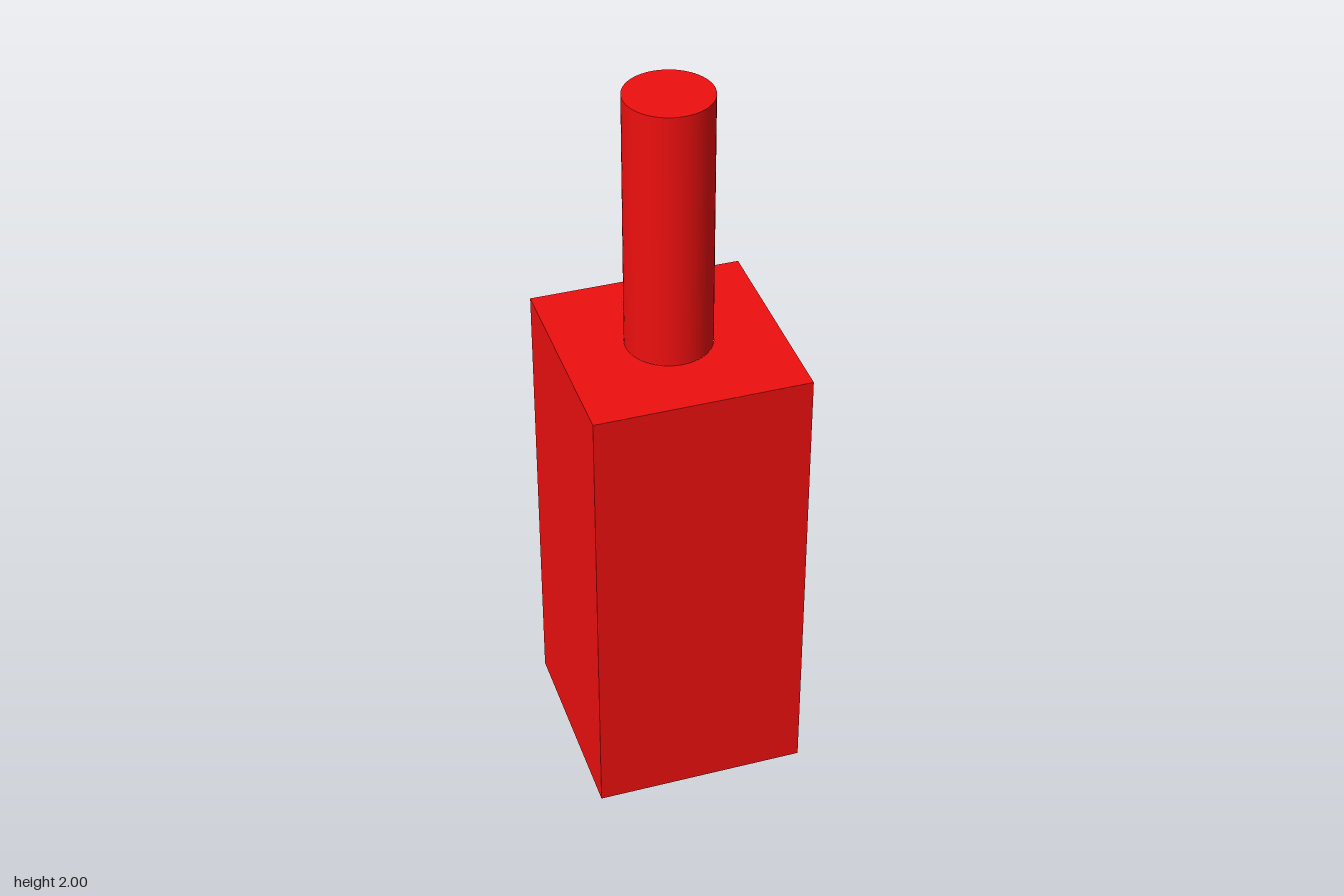
import * as THREE from 'three';

const WIDTH = 0.572, BODY_H = 1.286, TOTAL_H = 2, RADIUS = 0.1145, BORE_DEPTH = 0.714, SEGMENTS = 64;

export function createModel() {
  const group = new THREE.Group();
  const red = new THREE.MeshStandardMaterial({ color: 0xee0f0f });
  const redInside = new THREE.MeshStandardMaterial({ color: 0xee0f0f, side: THREE.BackSide });

  function add(name, geometry, y, material = red, rotX = 0) {
    const mesh = new THREE.Mesh(geometry, material);
    mesh.name = name;
    mesh.position.y = y;
    mesh.rotation.x = rotX;
    group.add(mesh);
  }

  // Four side walls: a box without its top and bottom faces
  const walls = new THREE.BoxGeometry(WIDTH, BODY_H, WIDTH);
  const index = Array.from(walls.index.array);
  walls.setIndex([...index.slice(0, 12), ...index.slice(24)]);
  walls.clearGroups();
  add('bodyWalls', walls, BODY_H / 2);

  // Square plates with a round opening, for the shoulder and the underside
  const h = WIDTH / 2;
  const square = new THREE.Shape([
    new THREE.Vector2(-h, -h), new THREE.Vector2(h, -h),
    new THREE.Vector2(h, h), new THREE.Vector2(-h, h),
  ]);
  square.holes.push(new THREE.Path().absarc(0, 0, RADIUS, 0, Math.PI * 2, true));
  const plate = new THREE.ShapeGeometry(square, SEGMENTS);
  add('bodyTop', plate, BODY_H, red, -Math.PI / 2);
  add('bodyBottom', plate, 0, red, Math.PI / 2);

  // Round peg standing on the body
  const disc = new THREE.CircleGeometry(RADIUS, SEGMENTS);
  const tube = (height) => new THREE.CylinderGeometry(RADIUS, RADIUS, height, SEGMENTS, 1, true);
  add('peg', tube(TOTAL_H - BODY_H), (TOTAL_H + BODY_H) / 2);
  add('pegTop', disc, TOTAL_H, red, -Math.PI / 2);

  // Matching blind socket in the underside
  add('socketWall', tube(BORE_DEPTH), BORE_DEPTH / 2, redInside);
  add('socketEnd', disc, BORE_DEPTH, red, Math.PI / 2);

  return group;
}
